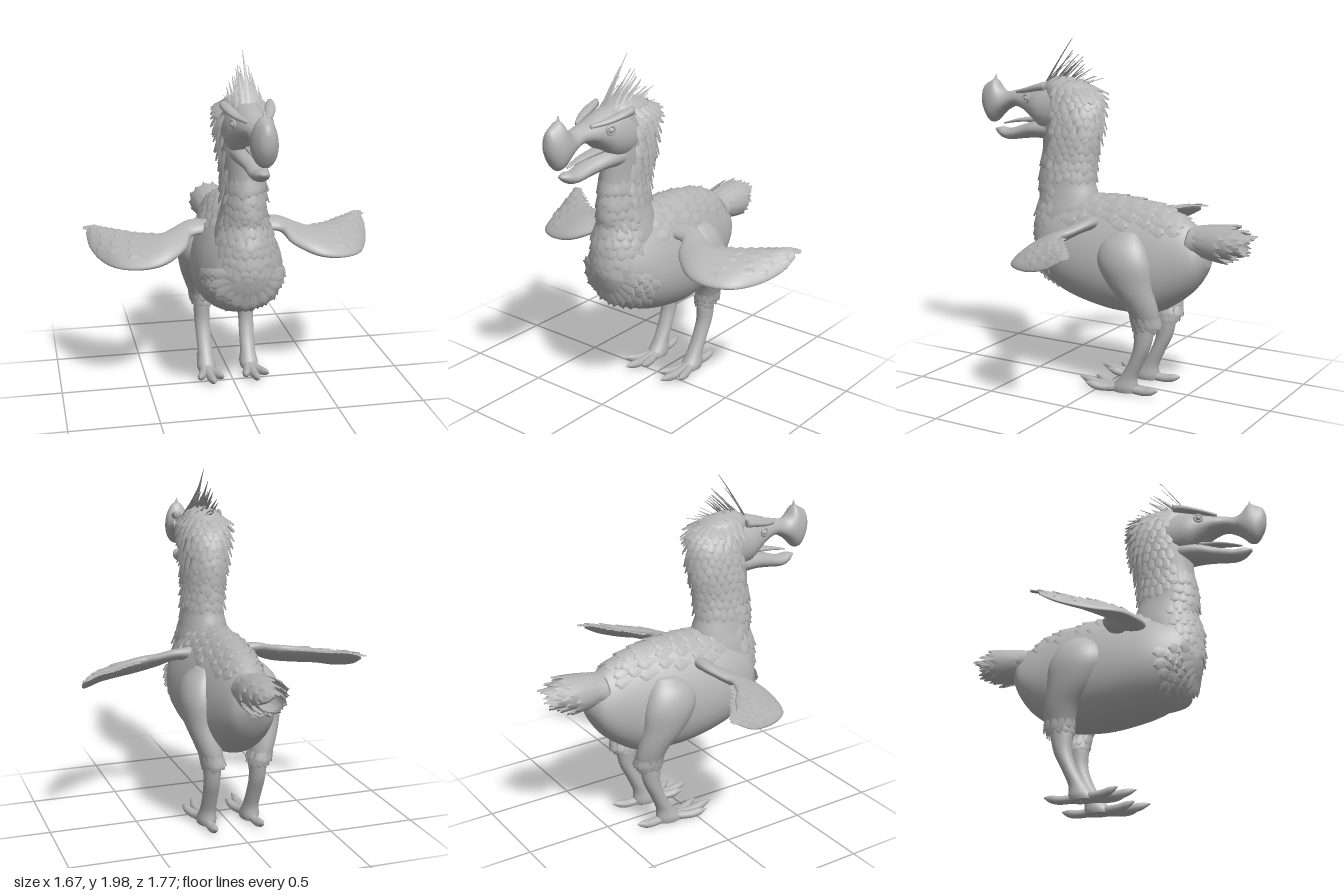
import * as THREE from 'three';
import { mergeGeometries } from 'three/addons/utils/BufferGeometryUtils.js';

const V = (x, y, z) => new THREE.Vector3(x, y, z);

// small seeded random for feather variety
let seed = 7;
const rnd = () => (seed = (seed * 16807) % 2147483647) / 2147483647;

// stations: centre (3), half axis u (3), half axis v (3)
const ringY = ([x, y, z, rx, rz]) => [x, y, z, rx, 0, 0, 0, 0, rz];
const ringZ = ([z, top, bottom, w, x = 0]) => [x, (top + bottom) / 2, z, w, 0, 0, 0, (top - bottom) / 2, 0];

// smooth surface through elliptical stations; egg narrows the +v side
function surface(stations, egg = 0) {
  const n = stations.length - 1;
  const at = (t, a) => {
    const f = THREE.MathUtils.clamp(t, 0, 1) * n, i = Math.min(Math.floor(f), n - 1), k = f - i;
    const S = j => stations[THREE.MathUtils.clamp(j, 0, n)];
    const [p0, p1, p2, p3] = [S(i - 1), S(i), S(i + 1), S(i + 2)];
    const s = p1.map((b, j) => b + 0.5 * k * (p2[j] - p0[j]
      + k * (2 * p0[j] - 5 * b + 4 * p2[j] - p3[j] + k * (3 * (b - p2[j]) + p3[j] - p0[j]))));
    const c = Math.cos(a) * (1 - egg * Math.sin(a)), d = Math.sin(a);
    return V(s[0] + s[3] * c + s[6] * d, s[1] + s[4] * c + s[7] * d, s[2] + s[5] * c + s[8] * d);
  };
  return { stations, at };
}

// closed skin over a surface
function loft({ stations, at }, sides = 28, steps = 5) {
  const rows = (stations.length - 1) * steps, pos = [], idx = [];
  const first = stations[0], last = stations[stations.length - 1];
  const vec = (s, o) => V(s[o], s[o + 1], s[o + 2]);
  const mid = stations[stations.length >> 1];
  const flip = vec(mid, 3).cross(vec(mid, 6)).dot(vec(last, 0).sub(vec(first, 0))) < 0;
  for (let i = -1; i <= rows + 1; i++) {
    for (let j = 0; j < sides; j++) {
      const p = i < 0 ? vec(first, 0) : i > rows ? vec(last, 0) : at(i / rows, j / sides * Math.PI * 2);
      pos.push(p.x, p.y, p.z);
    }
  }
  for (let i = 0; i < rows + 2; i++) {
    for (let j = 0; j < sides; j++) {
      const a = i * sides + j, b = i * sides + (j + 1) % sides, c = a + sides, d = b + sides;
      if (flip) idx.push(a, c, b, b, c, d); else idx.push(a, b, c, b, d, c);
    }
  }
  const g = new THREE.BufferGeometry();
  g.setAttribute('position', new THREE.Float32BufferAttribute(pos, 3));
  g.setIndex(idx);
  g.computeVertexNormals();
  return g;
}

// thin cupped leaf from base to tip
function feather(base, tip, normal, width, bend = 0, sharp = 0) {
  const g = new THREE.PlaneGeometry(1, 1, 2, 5), p = g.attributes.position;
  const dir = tip.clone().sub(base), len = dir.length(), y = dir.normalize();
  const x = y.clone().cross(normal).normalize(), z = x.clone().cross(y);
  for (let i = 0; i < p.count; i++) {
    const t = p.getY(i) + 0.5, s = p.getX(i) * 2;
    const round = (0.55 + 0.45 * t) * Math.sqrt(Math.max(0, 1 - t ** 5));
    const w = width / 2 * s * (sharp ? 1 - t * 0.95 : round);
    const h = bend * t * t - 0.12 * width * s * s;
    const q = base.clone().addScaledVector(x, w).addScaledVector(y, t * len).addScaledVector(z, h);
    p.setXYZ(i, q.x, q.y, q.z);
  }
  g.computeVertexNormals();
  return g;
}

// overlapping rows of feathers on a surface; angles in degrees
function coat({ at }, t0, t1, rows, a0, a1, count, dir, len, width, lift = 0.012) {
  const out = [];
  for (let r = 0; r < rows; r++) {
    for (let k = 0; k < count; k++) {
      const t = t0 + (t1 - t0) * (r + 0.3 * rnd()) / rows;
      const a = (a0 + (a1 - a0) * (k + (r % 2) / 2 + 0.25 * rnd()) / count) * Math.PI / 180;
      const p = at(t, a), along = at(t + 0.01, a).sub(at(t - 0.01, a)).normalize();
      const n = at(t, a + 0.05).sub(at(t, a - 0.05)).cross(along).normalize();
      if (n.dot(p.clone().sub(at(t, a + Math.PI))) < 0) n.negate();
      const base = p.clone().addScaledVector(n, 0.003), l = len * (0.8 + 0.4 * rnd());
      out.push(feather(base, base.clone().addScaledVector(along, dir * l).addScaledVector(n, lift), n, width));
    }
  }
  return out;
}

export function createModel() {
  seed = 7;
  const model = new THREE.Group();
  const grey = new THREE.MeshStandardMaterial({ color: 0xb4b4b4, side: THREE.DoubleSide });
  grey.name = 'plain grey';
  const add = (name, g) => {
    const m = new THREE.Mesh(Array.isArray(g) ? mergeGeometries(g) : g, grey);
    m.name = name;
    model.add(m);
    return m;
  };

  // body and neck
  const body = surface([[0.47, 0.88, 0.78, 0.04], [0.44, 1.0, 0.68, 0.12], [0.38, 1.06, 0.61, 0.18],
    [0.25, 1.1, 0.53, 0.23], [0.1, 1.11, 0.485, 0.245], [-0.1, 1.115, 0.455, 0.235], [-0.3, 1.09, 0.47, 0.2],
    [-0.42, 1.05, 0.53, 0.17], [-0.52, 1.0, 0.61, 0.14], [-0.58, 0.95, 0.69, 0.11], [-0.62, 0.9, 0.77, 0.05]].map(ringZ), 0.18);
  add('body', loft(body, 36));
  const neck = surface([[0, 0.7, 0.3, 0.16, 0.14], [0, 0.85, 0.3, 0.17, 0.18], [0, 1.0, 0.28, 0.155, 0.195],
    [0, 1.1, 0.275, 0.13, 0.18], [0, 1.2, 0.29, 0.112, 0.17], [0, 1.35, 0.275, 0.112, 0.17],
    [0, 1.5, 0.255, 0.128, 0.18], [0, 1.65, 0.25, 0.128, 0.17], [0, 1.73, 0.28, 0.1, 0.14], [0, 1.77, 0.31, 0.03, 0.05]].map(ringY));
  add('neck', loft(neck, 36));

  // plumage
  add('breastFeathers', [
    ...coat(neck, 0.12, 0.58, 10, 15, 165, 9, -1, 0.09, 0.075),
    ...coat(body, 0.08, 0.26, 5, 185, 355, 11, 1, 0.09, 0.08, 0.006)]);
  add('napeFeathers', coat(neck, 0.49, 0.9, 11, 155, 385, 15, -1, 0.085, 0.055, 0.025));
  add('backFeathers', coat(body, 0.3, 0.7, 8, 35, 145, 8, 1, 0.11, 0.09, 0.008));

  // head and beak
  add('headAndUpperBeak', loft(surface([[0.3, 1.75, 1.44, 0.125], [0.42, 1.74, 1.46, 0.122], [0.5, 1.72, 1.52, 0.1],
    [0.57, 1.695, 1.57, 0.08], [0.64, 1.68, 1.585, 0.06], [0.7, 1.67, 1.56, 0.058], [0.74, 1.69, 1.53, 0.067],
    [0.78, 1.74, 1.49, 0.07], [0.82, 1.725, 1.49, 0.063], [0.86, 1.7, 1.55, 0.04], [0.875, 1.66, 1.6, 0.015]].map(ringZ), 0.12)));
  add('lowerBeak', loft(surface([[0.34, 1.54, 1.4, 0.1], [0.48, 1.515, 1.41, 0.085], [0.58, 1.485, 1.4, 0.062],
    [0.68, 1.455, 1.388, 0.052], [0.74, 1.46, 1.4, 0.04], [0.785, 1.45, 1.435, 0.012]].map(ringZ))));
  add('tongue', loft(surface([[0.46, 1.54, 1.5, 0.04], [0.6, 1.52, 1.495, 0.032], [0.68, 1.5, 1.485, 0.02],
    [0.73, 1.485, 1.475, 0.006]].map(ringZ)), 12));
  const horn = add('beakHorn', new THREE.ConeGeometry(0.03, 0.09, 14));
  horn.position.set(0, 1.725, 0.787);
  horn.rotation.x = -0.1;

  // crest of long swept spikes
  const crest = [];
  for (let r = 0; r < 6; r++) {
    for (let k = -3; k <= 3; k++) {
      const u = r / 5, x = k * 0.028, side = Math.abs(k) / 3;
      const base = V(x, 1.72 - 0.05 * side, 0.44 - 0.24 * u);
      const tip = V(x * 1.15 + (rnd() - 0.5) * 0.02, 2.0 - 0.2 * u - 0.16 * side - 0.05 * rnd() * (r + Math.abs(k) > 0 ? 1 : 0),
        0.29 - 0.19 * u - 0.05 * rnd());
      crest.push(feather(base, tip, V(k * 0.15, 0.5, 1), 0.034, -0.02, 1));
    }
  }
  add('crest', crest);

  // tail plume
  add('tailStump', loft(surface([[-0.52, 0.99, 0.8, 0.11], [-0.6, 0.99, 0.83, 0.11], [-0.67, 0.97, 0.85, 0.09],
    [-0.72, 0.94, 0.88, 0.05]].map(ringZ)), 20));
  const plume = [];
  for (let ring = 0; ring < 3; ring++) {
    for (let k = 0; k < 14; k++) {
      const a = (k + ring / 2) / 14 * Math.PI * 2, c = Math.cos(a), s = Math.sin(a), shrink = 1 - ring * 0.2;
      const base = V(0.11 * c * shrink, 0.91 + 0.085 * s * shrink, -0.56);
      const tip = V(0.15 * c * shrink, 0.91 + 0.125 * s * shrink, -0.73 - 0.05 * ring - 0.05 * Math.max(0, s) - 0.02 * rnd());
      plume.push(feather(base, tip, V(c, s, 0), 0.075, -0.015));
    }
  }
  add('tailPlume', plume);

  for (const s of [1, -1]) {
    const side = s > 0 ? 'left' : 'right';

    // eye, eyelid and brow
    const eye = add(side + 'Eye', new THREE.SphereGeometry(0.018, 16, 12));
    eye.position.set(s * 0.098, 1.645, 0.5);
    const lid = add(side + 'Eyelid', new THREE.TorusGeometry(0.022, 0.007, 8, 20));
    lid.position.set(s * 0.101, 1.645, 0.502);
    lid.rotation.y = s * 1.25;
    add(side + 'Brow', loft(surface([[0.36, 1.745, 1.7, 0.02, s * 0.125], [0.43, 1.73, 1.69, 0.03, s * 0.11],
      [0.52, 1.705, 1.675, 0.025, s * 0.085], [0.6, 1.685, 1.665, 0.01, s * 0.05]].map(ringZ)), 12));

    // wing: leading point, trailing point, half thickness
    const wing = surface([[0.13, 0.96, 0.1, 0.13, 0.98, -0.01, 0.04], [0.25, 0.95, 0.1, 0.25, 0.99, -0.02, 0.033],
      [0.3, 0.9, 0.19, 0.36, 0.96, 0.03, 0.036], [0.42, 0.85, 0.275, 0.42, 0.945, 0.06, 0.042],
      [0.55, 0.825, 0.28, 0.52, 0.94, 0.02, 0.04], [0.68, 0.82, 0.22, 0.62, 0.94, -0.06, 0.035],
      [0.76, 0.825, 0.08, 0.7, 0.945, -0.11, 0.028], [0.81, 0.86, -0.07, 0.76, 0.945, -0.16, 0.018],
      [0.82, 0.91, -0.17, 0.8, 0.935, -0.18, 0.008]].map(([fx, fy, fz, rx, ry, rz, t]) => [
      s * (fx + rx) / 2, (fy + ry) / 2, (fz + rz) / 2, s * (fx - rx) / 2, (fy - ry) / 2, (fz - rz) / 2, 0, t, 0]));
    add(side + 'Wing', loft(wing));
    const flight = coat(wing, 0.5, 0.92, 4, 50, 150, 4, 1, 0.07, 0.06, 0.004);
    for (let k = 0; k < 11; k++) {
      const base = wing.at(0.42 + 0.055 * k, Math.PI * 0.97);
      flight.push(feather(base, base.clone().add(V(s * 0.035, 0.002, -0.04)), V(0, 1, 0.3), 0.06));
    }
    add(side + 'WingFeathers', flight);

    // thigh with a feathered cuff
    const thigh = surface([[0.15, 0.95, -0.19, 0.04, 0.06], [0.175, 0.88, -0.18, 0.085, 0.13], [0.19, 0.78, -0.19, 0.1, 0.16],
      [0.185, 0.66, -0.225, 0.09, 0.135], [0.165, 0.55, -0.28, 0.075, 0.1], [0.145, 0.47, -0.3, 0.065, 0.085],
      [0.137, 0.42, -0.295, 0.055, 0.07]].map(([x, ...r]) => ringY([s * x, ...r])));
    add(side + 'Thigh', loft(thigh));
    add(side + 'ThighCuff', coat(thigh, 0.8, 0.94, 2, 0, 360, 12, 1, 0.06, 0.05));

    // shin and ankle
    add(side + 'Shin', loft(surface([[0.135, 0.48, -0.3, 0.05, 0.065], [0.135, 0.4, -0.29, 0.05, 0.062], [0.135, 0.3, -0.28, 0.046, 0.05],
      [0.132, 0.2, -0.24, 0.045, 0.043], [0.13, 0.11, -0.195, 0.046, 0.05], [0.13, 0.05, -0.17, 0.055, 0.075],
      [0.13, 0.02, -0.16, 0.05, 0.08]].map(([x, ...r]) => ringY([s * x, ...r]))), 20));

    // toes, each ending in a raised claw: side offset and reach
    const toes = [[-0.065, 0.06], [0, 0.13], [0.075, 0.05], [0.01, -0.38]].map(([dx, z]) => {
      const z0 = -0.17, pts = [[0, 0.075, 0.016, 0.032], [0.35, 0.06, 0.012, 0.026], [0.6, 0.06, 0.012, 0.026],
        [0.78, 0.066, 0.02, 0.022], [0.9, 0.064, 0.034, 0.012], [1, 0.06, 0.052, 0.003]];
      return loft(surface(pts.map(([t, top, bottom, w]) =>
        ringZ([z0 + (z - z0) * t, top, bottom, w, s * (0.13 + dx * t)]))), 12);
    });
    add(side + 'Toes', toes);
  }
  return model;
}
